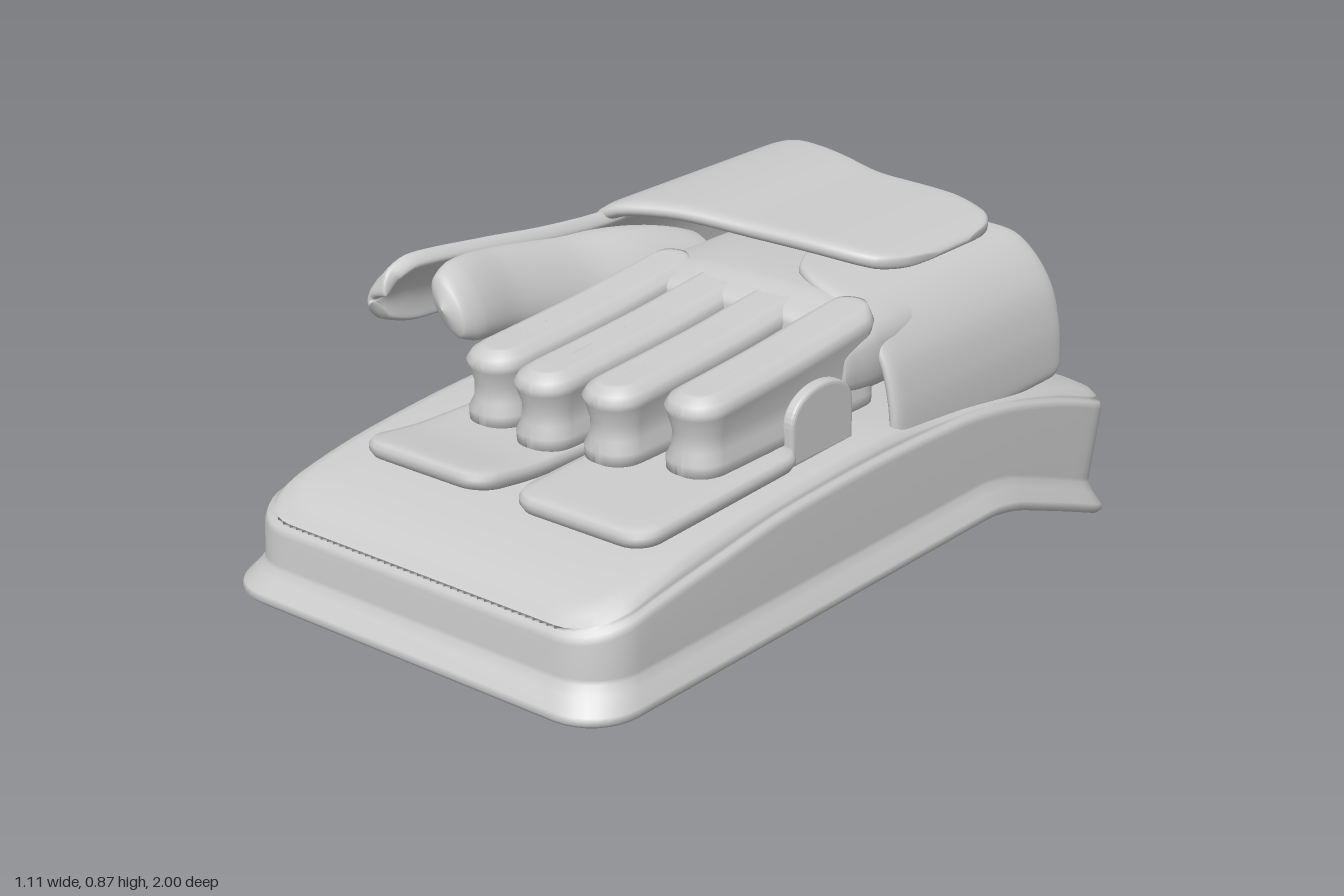
import * as THREE from 'three';
import { mergeVertices } from 'three/addons/utils/BufferGeometryUtils.js';

const material = new THREE.MeshStandardMaterial({ color: 0xcccccc, side: THREE.DoubleSide });
const lerp = THREE.MathUtils.lerp;

// Smooth monotone interpolation of rows [x, value...] in column c
function table(rows, x, c = 1) {
  const last = rows.length - 1;
  if (x <= rows[0][0]) return rows[0][c];
  if (x >= rows[last][0]) return rows[last][c];
  let i = 0;
  while (x > rows[i + 1][0]) i++;
  const d = k => (rows[k + 1][c] - rows[k][c]) / (rows[k + 1][0] - rows[k][0]);
  const slope = k => {
    if (k === 0) return d(0);
    if (k === last) return d(last - 1);
    return d(k - 1) * d(k) > 0 ? 2 * d(k - 1) * d(k) / (d(k - 1) + d(k)) : 0;
  };
  const h = rows[i + 1][0] - rows[i][0], t = (x - rows[i][0]) / h, s = t * t * (3 - 2 * t);
  return rows[i][c] * (1 - s) + rows[i + 1][c] * s
    + h * (t * (1 - t) ** 2 * slope(i) - t * t * (1 - t) * slope(i + 1));
}

function build(pos, idx) {
  let g = new THREE.BufferGeometry();
  g.setAttribute('position', new THREE.Float32BufferAttribute(pos, 3));
  g.setIndex(idx);
  g = mergeVertices(g, 1e-5);
  g.computeVertexNormals();
  return g;
}

// Joins equally long closed rings of points
function skin(rings) {
  const n = rings[0].length, idx = [];
  for (let i = 0; i < rings.length - 1; i++)
    for (let j = 0; j < n; j++) {
      const k = (j + 1) % n, a = i * n + j, b = i * n + k;
      idx.push(a, b, b + n, a, b + n, a + n);
    }
  return build(rings.flat(2), idx);
}

// Rounded rectangle in plan, with its height given by y(z)
function planRing({ cx = 0, hx, zb, zf, r, y }, n) {
  const pts = [], corners = [], steps = 8;
  r = Math.min(r, hx, (zf - zb) / 2);
  [[1, zb + r], [-1, zb + r], [-1, zf - r], [1, zf - r]].forEach(([s, z], q) => {
    const c = [];
    for (let k = 0; k <= steps; k++) {
      const a = (q + k / steps) * Math.PI / 2;
      c.push([s * (hx - r) + r * Math.cos(a), z - r * Math.sin(a)]);
    }
    corners.push(c);
  });
  corners.forEach((c, q) => {
    pts.push(...c);
    const a = c[steps], b = corners[(q + 1) % 4][0];
    for (let k = 1; k < n; k++) pts.push([lerp(a[0], b[0], k / n), lerp(a[1], b[1], k / n)]);
  });
  return pts.map(([x, z]) => [cx + x, y(z), z]);
}

// Stack of plan rings from bottom to top, capped at both ends
function stack(rings, n = 16) {
  const cap = ring => [0.8, 0.6, 0.4, 0.2, 0.001].map(f => {
    const d = Math.min(ring.hx, (ring.zf - ring.zb) / 2) * (1 - f);
    return { ...ring, hx: ring.hx - d, zb: ring.zb + d, zf: ring.zf - d, r: ring.r * f };
  });
  const all = [...cap(rings[0]).reverse(), ...rings, ...cap(rings[rings.length - 1])];
  return skin(all.map(r => planRing(r, n)));
}

// Loft along z through rows [z, centreX, centreY, halfA, halfB, tilt]
function loft(rows, power = 1) {
  const rings = [], pw = v => Math.sign(v) * Math.abs(v) ** power;
  for (let i = 0; i < (rows.length - 1) * 5 + 1; i++) {
    const k = Math.floor(i / 5), z = i % 5 ? lerp(rows[k][0], rows[k + 1][0], (i % 5) / 5) : rows[k][0];
    const [cx, cy, a, b, t] = [1, 2, 3, 4, 5].map(c => table(rows, z, c));
    rings.push(Array.from({ length: 40 }, (_, j) => {
      const w = j / 40 * Math.PI * 2, p = a * pw(Math.cos(w)), q = b * pw(Math.sin(w));
      return [cx + p * Math.cos(t) - q * Math.sin(t), cy + p * Math.sin(t) + q * Math.cos(t), z];
    }));
  }
  return skin(rings);
}

// Padded sheet with rounded rim over a surface P(u, v)
function sheet(P, thickness, nu = 60, nv = 48) {
  const pos = [], idx = [], e = 1e-3, ease = t => 0.5 - 0.5 * Math.cos(Math.PI * t);
  const rim = t => Math.sqrt(Math.max(0, 1 - Math.abs(2 * t - 1) ** 24));
  for (const side of [1, -1]) {
    const base = pos.length / 3;
    for (let i = 0; i <= nu; i++)
      for (let j = 0; j <= nv; j++) {
        const u = ease(i / nu), v = ease(j / nv);
        const du = P(Math.min(1, u + e), v).sub(P(Math.max(0, u - e), v));
        const dv = P(u, Math.min(1, v + e)).sub(P(u, Math.max(0, v - e)));
        const p = P(u, v).addScaledVector(du.cross(dv).normalize(), side * thickness / 2 * rim(u) * rim(v));
        pos.push(p.x, p.y, p.z);
        if (i === nu || j === nv) continue;
        const a = base + i * (nv + 1) + j, b = a + nv + 1;
        if (side > 0) idx.push(a, b, b + 1, a, b + 1, a + 1);
        else idx.push(a, b + 1, b, a, a + 1, b + 1);
      }
  }
  return build(pos, idx);
}

// Sheet that follows an x,y profile between back and front z limits
function wrap(profile, back, front, thickness) {
  const curve = new THREE.CatmullRomCurve3(profile.map(([x, y]) => new THREE.Vector3(x, y, 0)));
  return sheet((u, v) => curve.getPointAt(u).setZ(lerp(table(back, u), table(front, u), v)), thickness);
}

export function createModel() {
  const model = new THREE.Group();
  const add = (name, geometry) => {
    const mesh = new THREE.Mesh(geometry, material);
    mesh.name = name;
    model.add(mesh);
    return mesh;
  };

  // Bent board with flared lip and cushioned top
  const low = [[-0.96, 0], [-0.6, 0.135], [-0.48, 0.175], [-0.38, 0.19], [1, 0.19]];
  const seam = [[-1, 0.275], [-0.67, 0.385], [-0.45, 0.435], [-0.3, 0.452], [0, 0.46], [0.3, 0.452],
    [0.6, 0.42], [0.85, 0.385], [0.95, 0.36]];
  const high = [[-1, 0.315], [-0.67, 0.42], [-0.45, 0.465], [-0.3, 0.485], [0, 0.505], [0.3, 0.495],
    [0.6, 0.47], [0.8, 0.435], [0.9, 0.405], [0.95, 0.375]];
  const over = (rows, d) => z => table(rows, z) + d;
  add('board', stack([
    [0.5, -0.91, 0.95, low, 0.02], [0.505, -0.915, 0.955, low, 0.003], [0.545, -0.955, 0.99, low, 0],
    [0.555, -0.962, 1, low, 0.012], [0.552, -0.96, 0.995, low, 0.025], [0.532, -0.947, 0.97, low, 0.055],
    [0.522, -0.945, 0.958, low, 0.075], [0.521, -0.947, 0.956, low, 0.085], [0.52, -0.99, 0.952, seam, -0.015],
    [0.514, -0.992, 0.948, seam, 0], [0.503, -0.985, 0.938, seam, 0.002], [0.503, -0.99, 0.938, seam, 0.01],
    [0.5, -0.995, 0.935, high, -0.025], [0.485, -0.985, 0.925, high, -0.01], [0.455, -0.96, 0.9, high, -0.001],
  ].map(([hx, zb, zf, rows, d]) => ({ hx, zb, zf, r: 0.12, y: over(rows, d) })), 40));

  // Plates under the fingertips
  const plate = (name, cx, hx, zb, zf, mid) => add(name, stack(
    [[0.025, -0.022], [0.006, -0.018], [0, -0.006], [0, 0.006], [0.006, 0.018], [0.025, 0.022]].map(([i, d]) =>
      ({ cx, hx: hx - i, zb: zb + i, zf: zf - i, r: 0.06, y: over(mid, d) }))));
  plate('rightFingerPlate', -0.11, 0.18, 0.2, 0.815, [[0.2, 0.515], [0.6, 0.52], [0.82, 0.545]]);
  plate('leftFingerPlate', 0.285, 0.185, 0.22, 0.765, [[0.22, 0.525], [0.76, 0.507]]);

  // Four fingers with a slight waist
  const back = [[-0.1, 0.765], [0, 0.755], [0.2, 0.735], [0.6, 0.71]];
  const flat = y => () => y;
  [[-0.16, 0.57], [0.008, 0.6], [0.176, 0.57], [0.352, 0.51]].forEach(([cx, tip], i) =>
    add('finger' + (i + 1), stack([
      [0.02, flat(0.535)], [0.003, flat(0.545)], [0.002, flat(0.57)], [0.012, flat(0.595)], [0.014, flat(0.63)],
      [0.004, over(back, -0.045)], [0, over(back, -0.03)], [0.008, over(back, -0.015)], [0.03, over(back, 0)],
    ].map(([d, y]) => ({ cx, hx: 0.074 - d, zb: -0.12, zf: tip - d, r: 0.066, y })))));

  // Hand body, open at the wrist
  add('hand', loft([
    [-0.62, 0.03, 0.61, 0.36, 0.1, 0], [-0.35, 0.07, 0.635, 0.35, 0.125, 0], [-0.1, 0.095, 0.65, 0.34, 0.122, 0],
    [-0.01, 0.1, 0.645, 0.327, 0.108, 0], [0.02, 0.1, 0.645, 0.32, 0.09, 0], [0.03, 0.1, 0.645, 0.001, 0.001, 0],
  ], 0.65));
  const lean = -0.98;
  add('thumb', loft([
    [-0.32, -0.22, 0.65, 0.01, 0.01, lean], [-0.28, -0.23, 0.66, 0.1, 0.06, lean], [-0.1, -0.27, 0.68, 0.13, 0.07, lean],
    [0.1, -0.315, 0.715, 0.11, 0.05, lean], [0.3, -0.325, 0.75, 0.1, 0.048, lean], [0.45, -0.305, 0.77, 0.095, 0.048, lean],
    [0.51, -0.3, 0.77, 0.075, 0.038, lean], [0.535, -0.3, 0.77, 0.002, 0.001, lean],
  ]));

  // Guard outside the thumb, growing out of the cuff
  const bottom = [[-0.3, 0.56], [-0.1, 0.63], [0.1, 0.68], [0.45, 0.69], [0.55, 0.715], [0.59, 0.765]];
  const top = [[-0.3, 0.825], [-0.1, 0.815], [0.1, 0.825], [0.3, 0.845], [0.5, 0.86], [0.56, 0.84], [0.59, 0.79]];
  const inner = [[-0.3, -0.36], [0, -0.36], [0.3, -0.385], [0.59, -0.415]];
  add('thumbGuard', sheet((u, v) => {
    const z = lerp(-0.3, 0.59, v);
    return new THREE.Vector3(lerp(-0.462, table(inner, z), u) - 0.025 * Math.sin(Math.PI * u),
      lerp(table(bottom, z), table(top, z), u), z);
  }, 0.042));

  // Cuff flap over the wrist and the strap below it
  add('cuffFlap', wrap(
    [[-0.475, 0.42], [-0.468, 0.6], [-0.435, 0.74], [-0.36, 0.822], [-0.22, 0.843], [0, 0.832], [0.2, 0.825], [0.385, 0.805]],
    [[0, -0.77], [0.4, -0.77], [0.55, -0.73], [0.7, -0.69], [0.84, -0.69], [0.94, -0.66], [0.985, -0.6], [1, -0.5]],
    [[0, -0.65], [0.1, -0.4], [0.2, -0.16], [0.3, -0.08], [0.37, -0.08], [0.5, -0.12], [0.67, -0.16], [0.84, -0.18],
      [0.94, -0.21], [0.985, -0.28], [1, -0.38]], 0.04));
  add('wristStrap', wrap(
    [[0.1, 0.775], [0.25, 0.765], [0.36, 0.73], [0.435, 0.65], [0.467, 0.55], [0.477, 0.42]],
    [[0, -0.58], [0.1, -0.66], [0.25, -0.72], [0.42, -0.765], [0.95, -0.765], [1, -0.74]],
    [[0, -0.25], [0.1, -0.15], [0.25, -0.1], [0.42, -0.085], [0.95, -0.085], [1, -0.11]], 0.034));

  // Small rounded tab beside the little finger
  const arch = new THREE.Shape();
  arch.moveTo(-0.1, -0.07).lineTo(0.1, -0.07).lineTo(0.1, 0.01);
  arch.bezierCurveTo(0.1, 0.1, -0.1, 0.1, -0.1, 0.01);
  const tab = add('sideTab', new THREE.ExtrudeGeometry(arch, {
    depth: 0.015, bevelSize: 0.01, bevelThickness: 0.008, bevelSegments: 3, curveSegments: 24 }));
  tab.rotation.y = Math.PI / 2;
  tab.position.set(0.422, 0.575, 0.13);
  return model;
}
